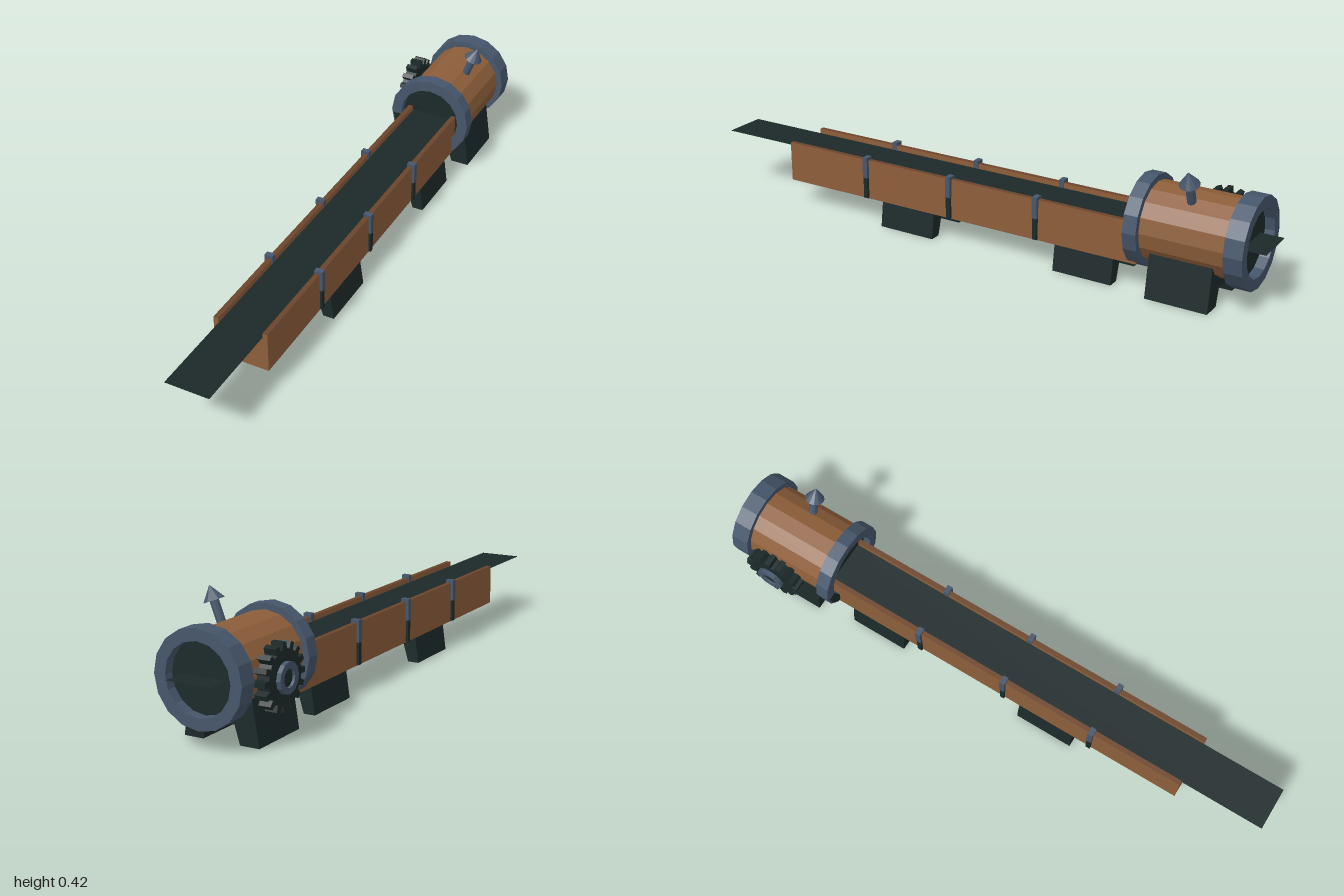
import * as THREE from 'three';

const CX = 0.018; // shared centre line of trough and drum
const DRUM_Y = 0.205;

export function createModel() {
  const model = new THREE.Group();
  model.name = 'conveyorMachine';
  const material = (name, color, extra = {}) => {
    const m = new THREE.MeshStandardMaterial({ color, ...extra });
    m.name = name;
    return m;
  };
  const wood = material('wood', 0x8d5e3a);
  const darkWood = material('darkWood', 0x6c452b);
  const steel = material('blueSteel', 0x46566b);
  const dark = material('darkIron', 0x1c2929, { side: THREE.DoubleSide });
  // Box sides in wood, top and bottom in dark wood
  const plank = [wood, wood, darkWood, darkWood, wood, wood];

  // Faceted mesh helper
  const add = (name, geometry, mat, x = 0, y = 0, z = 0) => {
    const g = geometry.index ? geometry.toNonIndexed() : geometry;
    g.computeVertexNormals();
    const mesh = new THREE.Mesh(g, mat);
    mesh.name = name;
    mesh.position.set(x, y, z);
    model.add(mesh);
    return mesh;
  };
  const box = (name, mat, x0, x1, y0, y1, z0, z1) =>
    add(name, new THREE.BoxGeometry(x1 - x0, y1 - y0, z1 - z0), mat,
      (x0 + x1) / 2, (y0 + y1) / 2, (z0 + z1) / 2);
  const polygon = (points) => new THREE.Shape(points.map(([x, y]) => new THREE.Vector2(x, y)));
  const extrude = (shape, depth) => new THREE.ExtrudeGeometry(shape, { depth, bevelEnabled: false });
  // Tube with a rectangular section, axis along y
  const ringGeometry = (outer, inner, length, sides) => new THREE.LatheGeometry([
    [outer, -length / 2], [outer, length / 2], [inner, length / 2], [inner, -length / 2], [outer, -length / 2],
  ].map(([r, y]) => new THREE.Vector2(r, y)), sides);

  // Trough with raised side walls and the thin belt running through everything
  box('troughBody', plank, -0.072, 0.108, 0.085, 0.198, -0.6, 0.715);
  for (const s of [-1, 1]) {
    const inner = CX + s * 0.074, outer = CX + s * 0.09;
    box('troughWall', plank, Math.min(inner, outer), Math.max(inner, outer), 0.198, 0.221, -0.6, 0.715);
  }
  add('belt', new THREE.PlaneGeometry(0.146, 2).rotateX(-Math.PI / 2), dark, CX, 0.205, 0);

  // Side clamps: steel top hooked over the wall, iron strap below
  for (const z of [0.395, 0.068, -0.253]) {
    for (const s of [-1, 1]) {
      const x = CX + s * 0.086;
      box('clampTop', steel, x - 0.014, x + 0.014, 0.16, 0.231, z - 0.009, z + 0.009);
      box('clampStrap', dark, x - 0.012, x + 0.012, 0.088, 0.16, z - 0.008, z + 0.008);
    }
  }

  // Bridge-shaped feet
  const foot = (name, bottom, top, height, zBack) => {
    const right = [[0.045, 0.058], [0.062, 0], [bottom, 0], [top, height]];
    const left = right.map(([x, y]) => [-x, y]).reverse();
    add(name, extrude(polygon([...right, ...left]), 0.203), dark, CX, 0, zBack);
  };
  foot('troughFoot', 0.1, 0.088, 0.088, 0.13);
  foot('troughFoot', 0.1, 0.088, 0.088, -0.524);
  foot('drumFoot', 0.126, 0.105, 0.14, -0.853);

  // Drum barrel, end rings and recessed dark ends
  add('drumBarrel', new THREE.CylinderGeometry(0.125, 0.125, 0.31, 16, 1, true).rotateX(Math.PI / 2),
    wood, CX, DRUM_Y, -0.76);
  for (const [z, length, discZ] of [[-0.599, 0.045, -0.606], [-0.926, 0.06, -0.92]]) {
    add('drumRing', ringGeometry(0.145, 0.108, length, 16).rotateX(Math.PI / 2), steel, CX, DRUM_Y, z);
    add('drumEnd', new THREE.CylinderGeometry(0.118, 0.118, 0.008, 16).rotateX(Math.PI / 2),
      dark, CX, DRUM_Y, discZ);
  }
  // Dark iron plate on the lower right of the front ring
  add('ringPlate', new THREE.RingGeometry(0.108, 0.138, 2, 1, Math.PI * 1.03, Math.PI * 0.22),
    dark, CX, DRUM_Y, -0.574);

  // Toothed gear with a hub ring on the drum's right side
  const teeth = 16;
  const outline = [];
  for (let i = 0; i < teeth; i++) {
    for (const [offset, r] of [[-0.3, 0.08], [-0.2, 0.1], [0.2, 0.1], [0.3, 0.08]]) {
      const a = ((i + offset) / teeth) * Math.PI * 2;
      outline.push([r * Math.cos(a), r * Math.sin(a)]);
    }
  }
  const gearY = 0.193, gearZ = -0.785;
  add('gear', extrude(polygon(outline), 0.04).rotateY(-Math.PI / 2), dark, -0.112, gearY, gearZ);
  add('gearHub', ringGeometry(0.047, 0.028, 0.02, 12).rotateZ(Math.PI / 2), steel, -0.156, gearY, gearZ);
  add('gearAxle', new THREE.CylinderGeometry(0.027, 0.027, 0.06, 12).rotateZ(Math.PI / 2),
    dark, -0.128, gearY, gearZ);

  // Tilted chimney with a conical cap
  const chimney = new THREE.Group();
  chimney.name = 'chimney';
  const pipe = add('chimneyPipe', new THREE.CylinderGeometry(0.014, 0.014, 0.085, 10), steel, 0, 0.04, 0);
  const cap = add('chimneyCap', new THREE.ConeGeometry(0.032, 0.045, 12), steel, 0, 0.0975, 0);
  chimney.add(pipe, cap);
  chimney.position.set(0.073, 0.305, -0.757);
  chimney.rotation.z = -0.36;
  model.add(chimney);

  return model;
}
